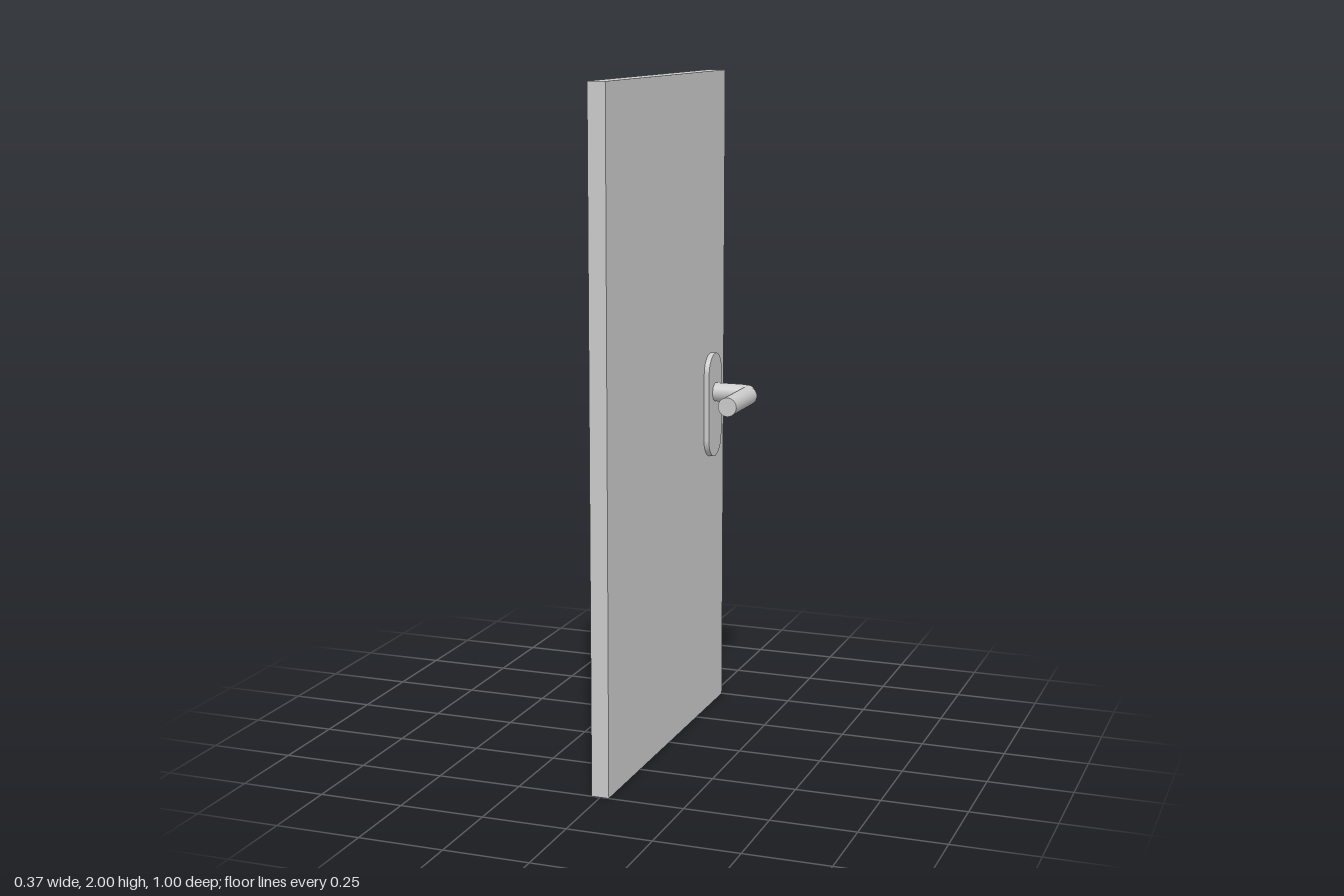
import * as THREE from 'three';

const material = new THREE.MeshStandardMaterial({ color: 0xcccccc });

const DOOR_HALF = 0.026; // half the door thickness
const HANDLE_Y = 1.017;
const HANDLE_Z = -0.376;
const ROD = 0.029; // handle rod radius
const BEND = 0.03; // bend radius along the rod's centre line
const BEND_X = 0.127; // where the bend starts

function addMesh(parent, name, geometry, x, y, z) {
  const mesh = new THREE.Mesh(geometry, material);
  mesh.name = name;
  mesh.position.set(x, y, z);
  parent.add(mesh);
  return mesh;
}

// Upright pill-shaped plate, facing along x
function plateGeometry(radius, height, depth) {
  const straight = height / 2 - radius;
  const shape = new THREE.Shape();
  shape.absarc(0, straight, radius, 0, Math.PI);
  shape.absarc(0, -straight, radius, Math.PI, Math.PI * 2);
  shape.closePath();
  const geometry = new THREE.ExtrudeGeometry(shape, { depth, bevelEnabled: false, curveSegments: 16 });
  return geometry.translate(0, 0, -depth / 2).rotateY(Math.PI / 2);
}

function handleSet(side) {
  const set = new THREE.Group();
  set.name = side > 0 ? 'leftHandleSet' : 'rightHandleSet';

  // Plate on the door face
  addMesh(set, 'backPlate', plateGeometry(0.06, 0.325, 0.016),
    side * (DOOR_HALF + 0.008), 0.977, -0.373);

  // Rod standing out from the door
  const spindleStart = DOOR_HALF;
  const spindleLength = BEND_X - spindleStart;
  addMesh(set, 'handleSpindle',
    new THREE.CylinderGeometry(ROD, ROD, spindleLength, 24, 1, true).rotateZ(Math.PI / 2),
    side * (spindleStart + spindleLength / 2), HANDLE_Y, HANDLE_Z);

  // Two-step bend turning the rod towards the front
  const bend = new THREE.TorusGeometry(BEND, ROD, 24, 2, Math.PI / 2).rotateX(-Math.PI / 2);
  if (side < 0) bend.rotateY(Math.PI / 2);
  addMesh(set, 'handleBend', bend, side * BEND_X, HANDLE_Y, HANDLE_Z + BEND);

  // Grip running parallel to the door
  const gripStart = HANDLE_Z + BEND;
  const gripLength = -0.143 - gripStart;
  addMesh(set, 'handleGrip',
    new THREE.CylinderGeometry(ROD, ROD, gripLength, 24).rotateX(Math.PI / 2),
    side * (BEND_X + BEND), HANDLE_Y, gripStart + gripLength / 2);

  return set;
}

export function createModel() {
  const model = new THREE.Group();
  model.name = 'door';
  addMesh(model, 'doorPanel', new THREE.BoxGeometry(DOOR_HALF * 2, 2, 1), 0, 1, 0);
  for (const side of [1, -1]) model.add(handleSet(side));
  return model;
}
